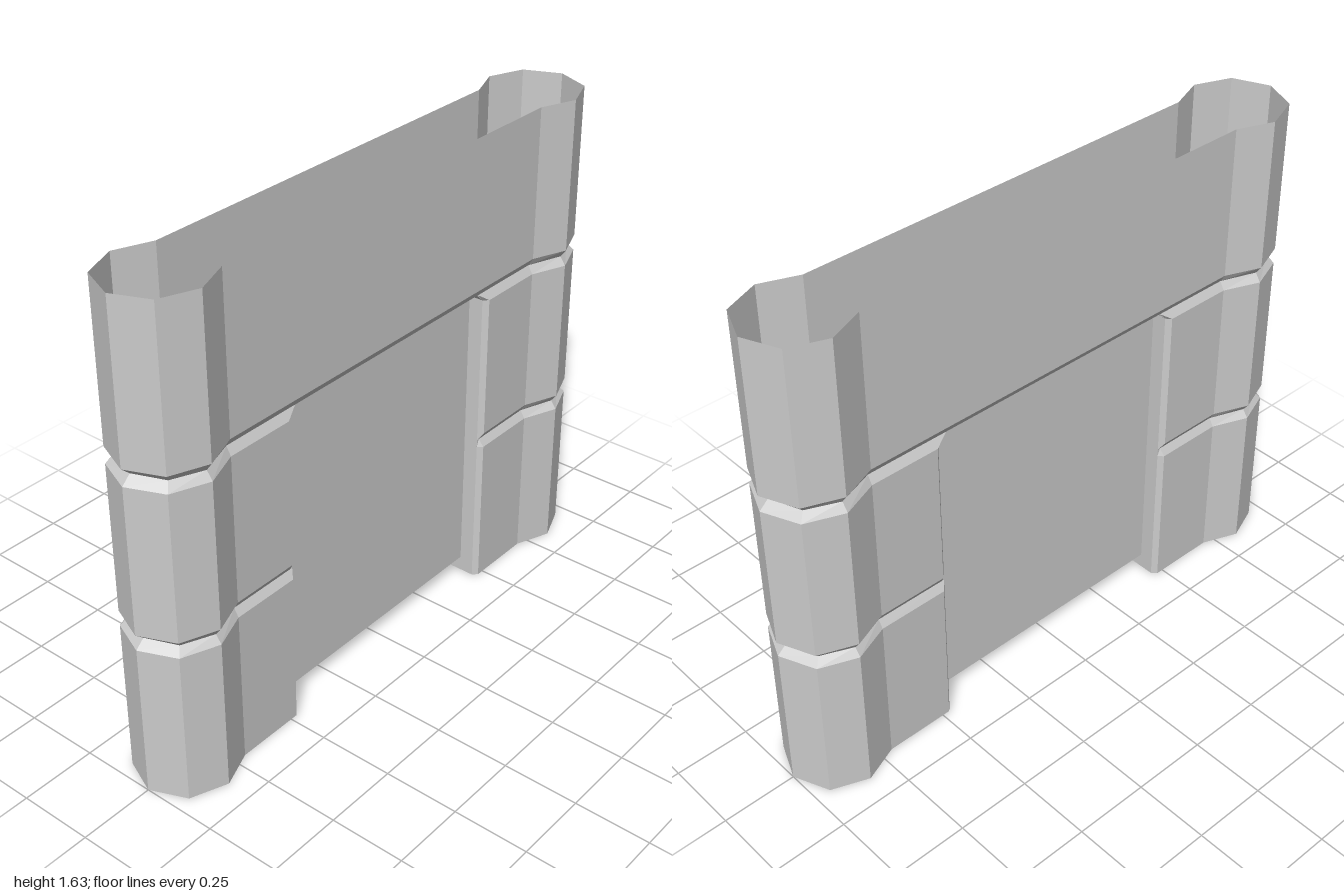
import * as THREE from 'three';

const material = new THREE.MeshStandardMaterial({
  color: 0xcccccc, flatShading: true, side: THREE.DoubleSide,
});

// Skin between stacked closed rings; each ring is { y, pts: [[x, z], ...] }
function loft(name, rings) {
  const pos = [];
  for (let r = 0; r < rings.length - 1; r++) {
    const lo = rings[r], hi = rings[r + 1], n = lo.pts.length;
    for (let i = 0; i < n; i++) {
      const j = (i + 1) % n;
      const at = (ring, k) => [ring.pts[k][0], ring.y, ring.pts[k][1]];
      const a = at(lo, i), b = at(lo, j), c = at(hi, j), d = at(hi, i);
      pos.push(...a, ...b, ...c, ...a, ...c, ...d);
    }
  }
  const g = new THREE.BufferGeometry();
  g.setAttribute('position', new THREE.Float32BufferAttribute(pos, 3));
  g.computeVertexNormals();
  const mesh = new THREE.Mesh(g, material);
  mesh.name = name;
  return mesh;
}

// Rounded end of the wall, front to back: full size and pinched in at a groove
const END = [[0.71, 0.118], [0.83, 0.165], [0.95, 0.118], [1, 0]];
const END_IN = [[0.71, 0.102], [0.83, 0.145], [0.93, 0.102], [0.97, 0]];
const around = (end) => [...end, ...end.slice(0, 3).reverse().map(([x, z]) => [x, -z])];

// Pier outline: rounded end plus the bevelled door jamb
function pierRing(y, pinched, jamb, edge) {
  const end = pinched ? END_IN : END;
  const z = end[0][1];
  return { y, pts: [[edge, z], ...around(end), [edge, -z], [jamb, -0.102], [jamb, 0.102]] };
}

// Whole wall outline with both rounded ends
function wallRing(y, pinched) {
  const half = around(pinched ? END_IN : END);
  return { y, pts: [...half, ...half.map(([x, z]) => [-x, -z])] };
}

export function createModel() {
  const group = new THREE.Group();
  group.name = 'gateWall';

  // Piers on both sides of the opening, with a groove at mid height
  // and a chamfered corner under the lintel
  for (const side of ['left', 'right']) {
    const pier = loft(side + 'Pier', [
      pierRing(0, false, 0.46, 0.475),
      pierRing(0.52, false, 0.46, 0.475),
      pierRing(0.547, true, 0.46, 0.47),
      pierRing(0.573, false, 0.46, 0.475),
      pierRing(1.065, false, 0.46, 0.475),
      pierRing(1.093, true, 0.43, 0.435),
    ]);
    if (side === 'right') pier.rotation.y = Math.PI;
    group.add(pier);
  }

  // Hollow upper wall, open at the top
  group.add(loft('upperWall', [
    wallRing(1.093, true), wallRing(1.12, false), wallRing(1.635, false),
  ]));

  // Underside of the lintel
  const soffit = new THREE.Mesh(new THREE.PlaneGeometry(0.86, 0.204), material);
  soffit.name = 'lintelUnderside';
  soffit.rotation.x = Math.PI / 2;
  soffit.position.y = 1.093;
  group.add(soffit);

  // Gate slab running into both piers, with a wedge-shaped lower edge
  const slab = (y, z) => ({ y, pts: [[-0.575, z], [0.575, z], [0.575, -z], [-0.575, -z]] });
  group.add(loft('gate', [slab(0, 0), slab(0.052, 0.052), slab(1.09, 0.052)]));

  return group;
}
